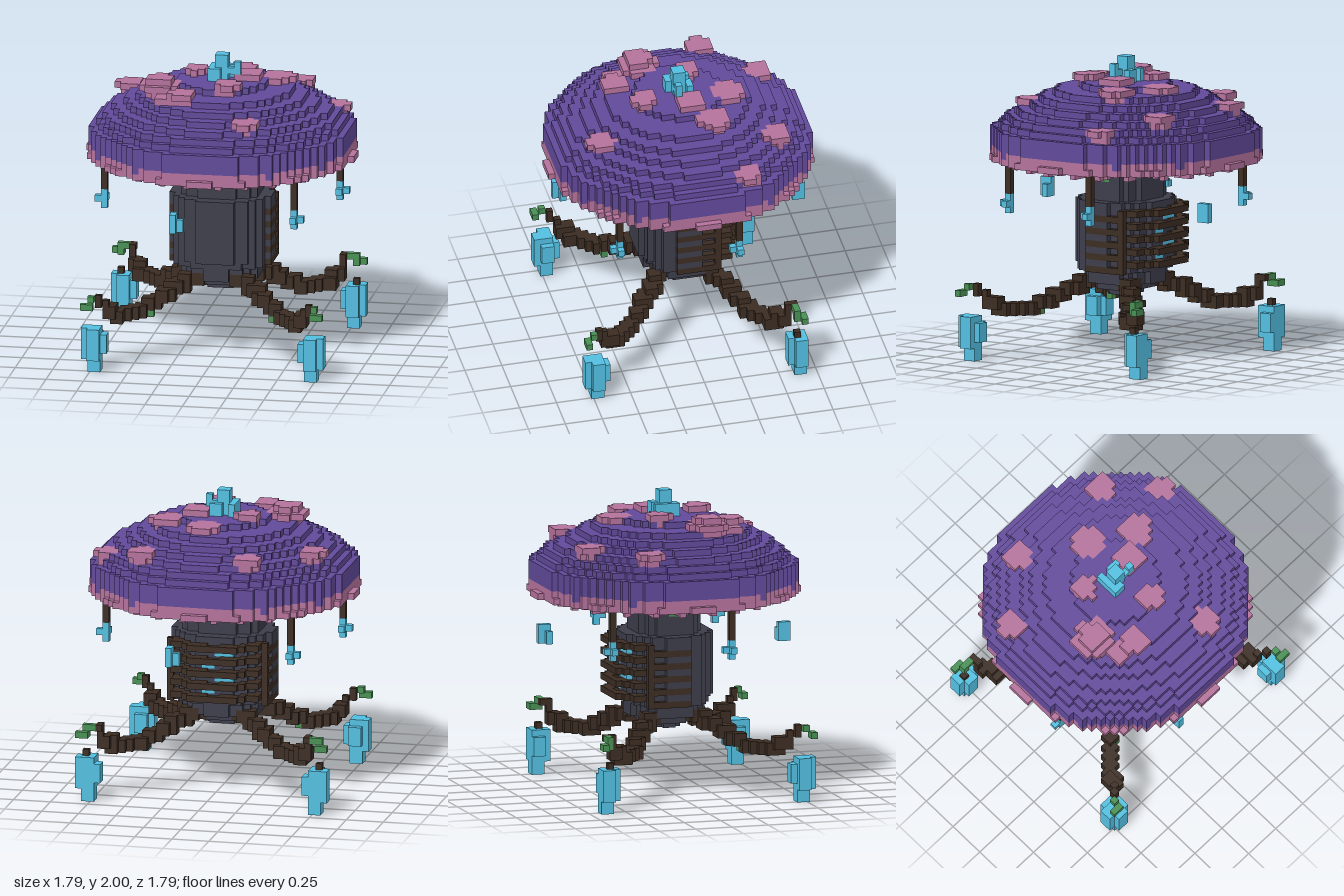
import * as THREE from 'three';

const UNIT = 2 / 47; // edge of one cube

const mat = (name, color) => {
  const m = new THREE.MeshStandardMaterial({ color });
  m.name = name;
  return m;
};

// Six cube sides: normal, then corners counter-clockwise seen from outside
const SIDES = [
  [[1, 0, 0], [[1, 0, 1], [1, 0, 0], [1, 1, 0], [1, 1, 1]]],
  [[-1, 0, 0], [[0, 0, 0], [0, 0, 1], [0, 1, 1], [0, 1, 0]]],
  [[0, 1, 0], [[0, 1, 1], [1, 1, 1], [1, 1, 0], [0, 1, 0]]],
  [[0, -1, 0], [[0, 0, 0], [1, 0, 0], [1, 0, 1], [0, 0, 1]]],
  [[0, 0, 1], [[0, 0, 1], [1, 0, 1], [1, 1, 1], [0, 1, 1]]],
  [[0, 0, -1], [[1, 0, 0], [0, 0, 0], [0, 1, 0], [1, 1, 0]]],
];

export function createModel() {
  const purple = mat('cap purple', 0x61499a);
  const pink = mat('spot pink', 0xb4729c);
  const blue = mat('glow blue', 0x53bfe1);
  const brown = mat('root brown', 0x3b2c22);
  const grey = mat('stem grey', 0x3d3d4b);
  const green = mat('moss green', 0x488f54);

  const cells = new Map(); // "x,y,z" -> part; later parts replace earlier ones
  const parts = [];
  const part = (name, material) => {
    const p = { name, material, pos: [], nor: [] };
    parts.push(p);
    return p;
  };
  const put = (p, x, y, z) => cells.set(`${x},${y},${z}`, p);
  const box = (p, x0, x1, y0, y1, z0, z1) => {
    for (let x = x0; x < x1; x++)
      for (let y = y0; y < y1; y++)
        for (let z = z0; z < z1; z++) put(p, x, y, z);
  };
  // Box repeated on the other side of x = 0
  const pair = (p, x0, x1, ...rest) => {
    box(p, x0, x1, ...rest);
    box(p, -x1, -x0, ...rest);
  };
  // One layer of the cubes whose centre passes a test
  const layer = (p, y, inside) => {
    for (let x = -22; x < 22; x++)
      for (let z = -22; z < 22; z++) if (inside(x + 0.5, z + 0.5)) put(p, x, y, z);
  };
  const disc = (p, y, r, inner = 0) =>
    layer(p, y, (x, z) => Math.hypot(x, z) <= r && Math.hypot(x, z) >= inner);

  // Domed cap, one radius per layer
  const cap = part('cap', purple);
  const capRadii = [17.6, 20.45, 20.45, 20.45, 20.45, 19.3, 18.3, 16.8, 14.8, 13, 10.8, 6.9];
  capRadii.forEach((r, i) => disc(cap, 31 + i, r));

  // Rim around the cap
  const rim = part('capRim', pink);
  disc(rim, 31, 20.6, 17.6);
  disc(rim, 32, 20.4, 17.6);

  // Raised spots: x, z, radius
  const spots = part('capSpots', pink);
  const spotList = [
    [-7.1, -14.3, 2.2], [10, -13.1, 2.1], [-15.7, -7.1, 2.1], [16.9, -7.1, 2.1],
    [1.4, -7.6, 2.5], [8.2, -3.8, 2.5], [-4.3, -2.4, 2], [4, -1, 2.2],
    [-9, 4.3, 3.1], [-4.7, 9, 2], [-7.7, 8.3, 1.8], [1.9, 5.9, 2.1], [6.1, 13.6, 2.2],
  ];
  for (const [sx, sz, r] of spotList) {
    const y = 30 + capRadii.filter((c) => c >= Math.hypot(sx, sz)).length + (sx < -15 || sx > 15 ? 1 : 0);
    const blob = (h, s) => layer(spots, h, (x, z) => Math.hypot(x - sx, z - sz) <= s);
    blob(y, r * 0.75);
    blob(y + 1, r);
    if (r > 3) blob(y + 2, r * 0.7);
  }

  // Broken radial gills below the cap
  const gills = part('gills', pink);
  for (let k = 0; k < 24; k++) {
    const a = ((k + 0.5) * Math.PI) / 12;
    for (let r = 7.7; r < 18; r += 0.5)
      if ((r + (k % 2) * 2) % 4 >= 1.4)
        put(gills, Math.floor(r * Math.cos(a)), 30, Math.floor(r * Math.sin(a)));
  }

  // Oval stem: first layer, end layer, half width, half depth
  const stem = part('stem', grey);
  const stemSteps = [
    [10, 11, 3.1, 2.3], [11, 12, 5.2, 4.3], [12, 14, 6.4, 5.8], [14, 15, 7.8, 6.4],
    [15, 25, 8, 7.1], [25, 29, 6.3, 5.2], [29, 31, 5.3, 4.6],
  ];
  for (const [y0, y1, a, b] of stemSteps)
    for (let y = y0; y < y1; y++) layer(stem, y, (x, z) => Math.hypot(x / a, z / b) <= 1);
  const glow = part('stemGlow', blue);
  for (let y = 16; y < 24; y += 2) box(glow, y % 4 ? -3 : 0, y % 4 ? 0 : 2, y, y + 1, -7, -6);

  // Slats wrapped round the sides and back of the stem
  const slats = part('slats', brown);
  pair(slats, 7, 8, 14, 24, -5, -4);
  for (let y = 14; y < 24; y += 2) {
    pair(slats, 7, 8, y, y + 1, -4, 2);
    layer(slats, y + 1, (x, z) => {
      const d = Math.hypot(x, z);
      return d >= 7.6 && d <= 9.2 && z < -4 && Math.abs(x) < 8;
    });
  }

  // Moss under the cap
  const moss = part('stemMoss', green);
  pair(moss, 5, 8, 29, 30, 0, 2);
  pair(moss, 5, 6, 28, 29, -1, 1);
  pair(moss, 5, 6, 30, 31, 0, 2);

  // Four curling roots
  const roots = part('roots', brown);
  const tips = part('rootMoss', green);
  const path = [
    [3, 12, 3.2], [4.5, 11.8, 4.7], [6.2, 11, 6], [8.5, 9.4, 8], [11, 8, 10.3],
    [14, 8, 13], [15.2, 9, 14.6], [15.8, 10.5, 15.6], [16.6, 11.4, 16.6],
  ];
  for (const [fx, fz] of [[1, 1], [1.03, -0.86]])
    for (let i = 0; i < path.length - 1; i++)
      for (let t = 0; t <= 1; t += 0.2) {
        const [x, y, z] = path[i].map((v, j) => THREE.MathUtils.lerp(v, path[i + 1][j], t));
        const s = i > 5 ? 1 : 2;
        const [a, b, c] = [x * fx, y, z * fz].map((v) => Math.round(v - s / 2));
        pair(roots, a, a + s, b, b + s, c, c + s);
      }
  pair(tips, 17, 18, 11, 12, 17, 18);
  pair(tips, 18, 19, 10, 11, 18, 19);
  pair(tips, 17, 18, 10, 11, 18, 19);
  pair(tips, 9, 10, 7, 8, 9, 10);
  pair(tips, 17, 19, 11, 12, -15, -14);
  pair(tips, 18, 20, 10, 11, -16, -15);
  pair(tips, 18, 19, 10, 11, -15, -14);

  // Glowing lanterns below the root tips
  const lanterns = part('lanterns', blue);
  pair(lanterns, 16, 18, 0, 7, 16, 18);
  pair(lanterns, 16, 19, 2, 7, 16, 18);
  pair(lanterns, 16, 18, 2, 7, 16, 19);
  pair(lanterns, 15, 16, 3, 6, 16, 18);
  pair(lanterns, 16, 18, 3, 6, 15, 16);
  pair(lanterns, 17, 19, 0, 7, -16, -14);
  pair(lanterns, 17, 20, 2, 7, -16, -14);
  pair(lanterns, 17, 19, 2, 7, -14, -13);
  pair(lanterns, 16, 17, 3, 6, -16, -14);
  const hooks = part('lanternHooks', brown);
  pair(hooks, 18, 19, 7, 8, -15, -14);

  // Hanging ropes with small flowers, each repeated by a half turn
  const ropes = part('ropes', brown);
  const flowers = part('flowers', blue);
  for (const [px, pz, hung] of [[13, 12, true], [-18, 5, true], [-5, 17, false]])
    for (const [x, z] of [[px, pz], [-1 - px, -1 - pz]]) {
      const sx = x < 0 ? -1 : 1;
      const sz = z < 0 ? -1 : 1;
      box(flowers, x, x + 1, 23, 26, z, z + 1);
      if (hung) {
        box(ropes, x, x + 1, 26, 31, z, z + 1);
        put(flowers, x + sx, 24, z);
        put(flowers, x, 24, Math.abs(z) < 8 ? z - sz : z + sz);
      } else {
        box(flowers, x - sx, x - sx + 1, 23, 25, z, z + 1);
        box(flowers, x, x + 1, 23, 26, z + sz, z + sz + 1);
      }
    }

  // Crystal on the crown
  const crystal = part('crownCrystal', blue);
  box(crystal, -1, 1, 43, 47, -1, 1);
  box(crystal, -2, -1, 43, 45, -2, 2);
  box(crystal, -1, 0, 43, 45, 1, 2);
  box(crystal, 0, 2, 43, 45, -2, -1);
  box(crystal, 1, 3, 44, 45, 0, 1);
  box(crystal, 2, 3, 44, 46, 0, 1);

  // Turn the exposed cube sides into one mesh per part
  for (const [key, p] of cells) {
    const c = key.split(',').map(Number);
    for (const [n, corners] of SIDES) {
      if (cells.has(`${c[0] + n[0]},${c[1] + n[1]},${c[2] + n[2]}`)) continue;
      for (const i of [0, 1, 2, 0, 2, 3]) {
        p.pos.push(...corners[i].map((v, j) => (v + c[j]) * UNIT));
        p.nor.push(...n);
      }
    }
  }
  const model = new THREE.Group();
  model.name = 'giantMushroom';
  for (const p of parts) {
    const g = new THREE.BufferGeometry();
    g.setAttribute('position', new THREE.Float32BufferAttribute(p.pos, 3));
    g.setAttribute('normal', new THREE.Float32BufferAttribute(p.nor, 3));
    const mesh = new THREE.Mesh(g, p.material);
    mesh.name = p.name;
    model.add(mesh);
  }
  return model;
}
